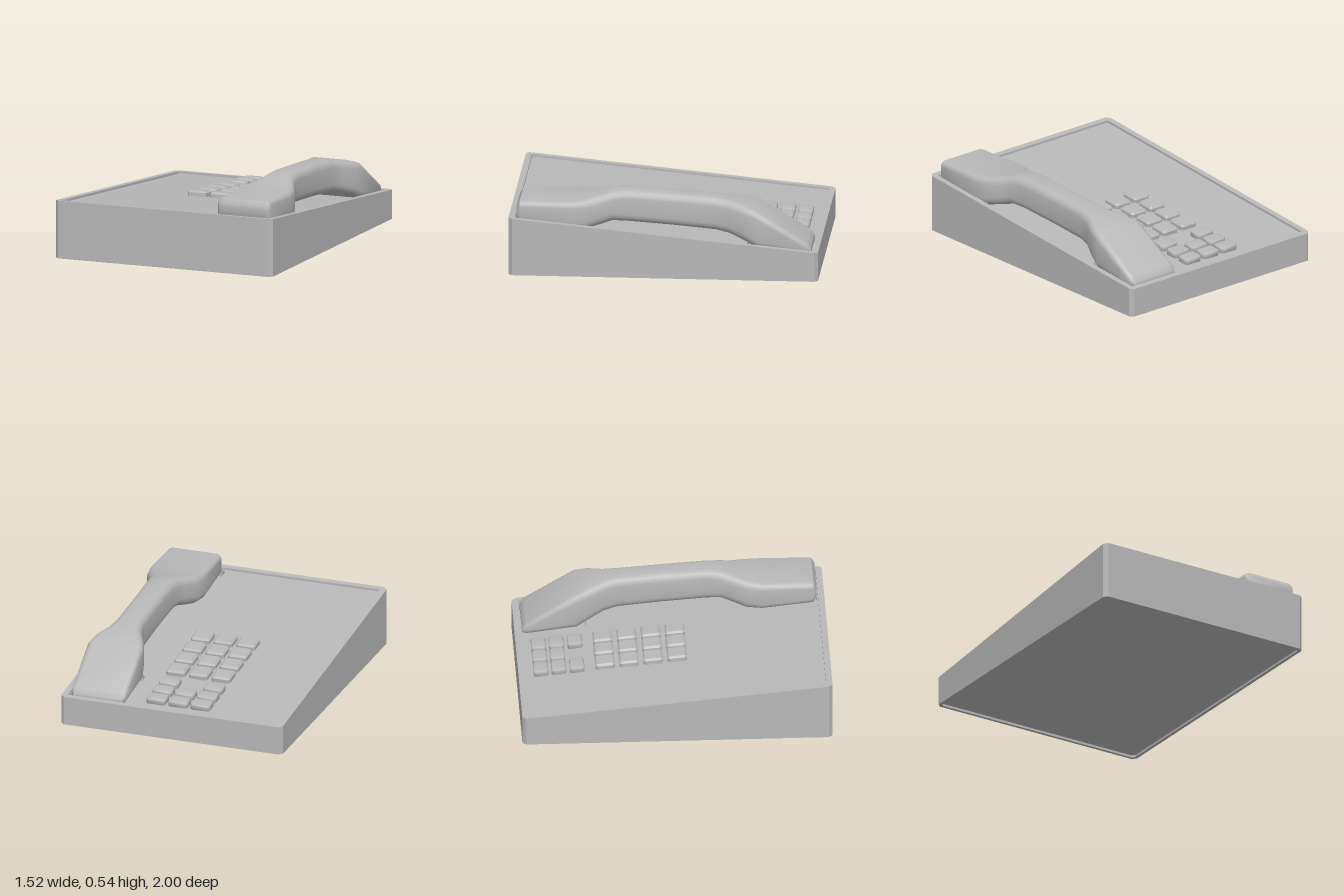
import * as THREE from 'three';
import { toCreasedNormals } from 'three/addons/utils/BufferGeometryUtils.js';

const grey = new THREE.MeshStandardMaterial({ color: 0xb8b8b8 });
grey.name = 'grey plastic';

// height of the sloping top edge of the housing
const slopeY = (z) => 0.285 + 0.095 * z;

// rectangle in plan with chamfered corners (shape y is -z)
function plate(x0, x1, z0, z1, c, Type = THREE.Shape) {
  const a = -z1, b = -z0;
  return new Type([
    [x0 + c, a], [x1 - c, a], [x1, a + c], [x1, b - c],
    [x1 - c, b], [x0 + c, b], [x0, b - c], [x0, a + c],
  ].map(([x, y]) => new THREE.Vector2(x, y)));
}

// upright prism whose bottom and top heights follow functions of z
function prism(name, shape, bottom, top) {
  const g = new THREE.ExtrudeGeometry(shape, { depth: 1, bevelEnabled: false });
  g.rotateX(-Math.PI / 2);
  const p = g.attributes.position;
  for (let i = 0; i < p.count; i++) {
    const z = p.getZ(i);
    p.setY(i, p.getY(i) > 0.5 ? top(z) : bottom(z));
  }
  g.computeVertexNormals();
  const mesh = new THREE.Mesh(g, grey);
  mesh.name = name;
  return mesh;
}

// bevelled push button, lying flat with its base at y = 0
function keyGeometry(w, d, bevel, segments) {
  const s = plate(-w / 2 + bevel, w / 2 - bevel, -d / 2 + bevel, d / 2 - bevel, 0.006);
  const g = new THREE.ExtrudeGeometry(s, {
    depth: 0.025, bevelSize: bevel, bevelThickness: 0.012, bevelSegments: segments,
  });
  g.rotateX(-Math.PI / 2);
  return segments > 1 ? toCreasedNormals(g, 0.9) : g;
}

// handset lofted from rounded rectangles: [z, half width, top, bottom, corner radius]
const sections = [
  [0.95, 0.165, 0.45, 0.365, 0.03],
  [0.93, 0.183, 0.48, 0.335, 0.035],
  [0.6, 0.19, 0.484, 0.302, 0.04],
  [0.5, 0.175, 0.495, 0.3, 0.05],
  [0.4, 0.13, 0.518, 0.318, 0.06],
  [0.34, 0.108, 0.533, 0.336, 0.055],
  [0.25, 0.095, 0.54, 0.332, 0.05],
  [-0.05, 0.092, 0.523, 0.31, 0.05],
  [-0.33, 0.095, 0.502, 0.286, 0.05],
  [-0.42, 0.117, 0.488, 0.268, 0.055],
  [-0.52, 0.168, 0.467, 0.236, 0.055],
  [-0.6, 0.188, 0.44, 0.2, 0.045],
  [-0.92, 0.185, 0.24, 0.165, 0.03],
  [-0.95, 0.165, 0.205, 0.17, 0.015],
];

function handsetGeometry() {
  const pos = [], idx = [], steps = 4, n = 4 * (steps + 1);
  for (const [z, hw, top, bottom, r] of sections) {
    const cx = 0.531 + 0.008 * z, cy = (top + bottom) / 2, hh = (top - bottom) / 2;
    for (let q = 0; q < 4; q++) {
      const sx = q === 0 || q === 3 ? 1 : -1, sy = q < 2 ? 1 : -1;
      for (let k = 0; k <= steps; k++) {
        const t = (q + k / steps) * Math.PI / 2;
        pos.push(cx + sx * (hw - r) + r * Math.cos(t), cy + sy * (hh - r) + r * Math.sin(t), z);
      }
    }
  }
  for (let i = 0; i < sections.length - 1; i++) {
    for (let j = 0; j < n; j++) {
      const a = i * n + j, b = i * n + (j + 1) % n;
      idx.push(a, a + n, b, b, a + n, b + n);
    }
  }
  // end caps
  const last = (sections.length - 1) * n;
  for (let j = 1; j < n - 1; j++) {
    idx.push(0, j, j + 1, last, last + j + 1, last + j);
  }
  const g = new THREE.BufferGeometry();
  g.setAttribute('position', new THREE.Float32BufferAttribute(pos, 3));
  g.setIndex(idx);
  return toCreasedNormals(g, 0.75);
}

export function createModel() {
  const model = new THREE.Group();
  model.name = 'desk telephone';

  // housing: thin foot lip, sloped wall, recessed deck with two cradle wells
  const base = 0.015;
  const lip = plate(-0.76, 0.76, -1, 1, 0.025);
  lip.holes.push(plate(-0.74, 0.74, -0.98, 0.98, 0.018, THREE.Path));
  model.add(prism('footLip', lip, () => 0, () => base));

  const wall = plate(-0.76, 0.76, -1, 1, 0.025);
  wall.holes.push(plate(-0.72, 0.72, -0.96, 0.96, 0.005, THREE.Path));
  model.add(prism('housingWall', wall, () => base, slopeY));

  const deck = plate(-0.72, 0.72, -0.96, 0.96, 0.005);
  const wells = [
    ['frontCradle', 0.33, 0.712, 0.39, 0.952, 0.025],
    ['rearCradle', 0.335, 0.716, -0.955, -0.54, 0.025],
  ];
  for (const [name, ...rect] of wells) {
    deck.holes.push(plate(...rect, THREE.Path));
    model.add(prism(name, plate(...rect), () => base, (z) => slopeY(z) - 0.06));
  }
  model.add(prism('deck', deck, () => base, (z) => slopeY(z) - 0.015));

  // buttons
  const addKey = (name, geometry, x, z) => {
    const key = new THREE.Mesh(geometry, grey);
    key.name = name;
    key.position.set(x, slopeY(z) - 0.015, z);
    key.rotation.x = -Math.atan(0.095);
    model.add(key);
  };
  const numberKey = keyGeometry(0.128, 0.128, 0.012, 1);
  for (const z of [-0.44, -0.285, -0.13, 0.025]) {
    for (const x of [-0.157, -0.002, 0.153]) addKey('numberKey', numberKey, x, z);
  }
  const functionKey = keyGeometry(0.13, 0.095, 0.012, 3);
  [-0.853, -0.738, -0.62].forEach((z, row) => {
    [-0.16, -0.008, 0.143].forEach((x, col) => {
      if (row < 2 || col !== 1) addKey('functionKey', functionKey, x, z);
    });
  });

  // handset
  const handset = new THREE.Mesh(handsetGeometry(), grey);
  handset.name = 'handset';
  model.add(handset);
  return model;
}
